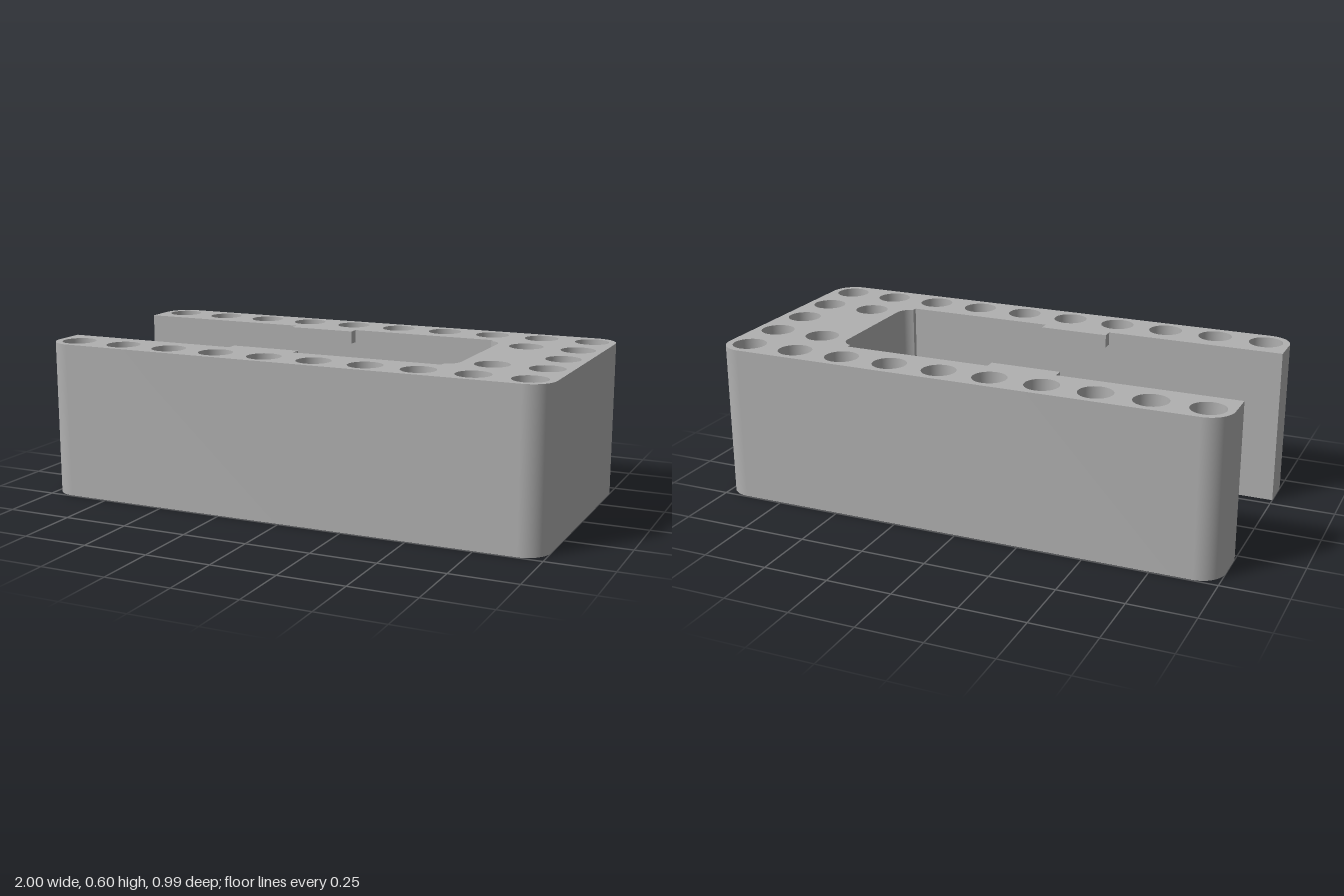
import * as THREE from 'three';

const HEIGHT = 0.6, FLOOR = 0.05;

// Extrude a plan drawn in (x, z) upward from y0
function slab(name, shape, y0, height, material) {
  const geo = new THREE.ExtrudeGeometry(shape, { depth: height, bevelEnabled: false, curveSegments: 20 });
  geo.rotateX(-Math.PI / 2);
  geo.translate(0, y0, 0);
  const mesh = new THREE.Mesh(geo, material);
  mesh.name = name;
  return mesh;
}

function polygon(points) {
  return new THREE.Shape(points.map(([x, y]) => new THREE.Vector2(x, y)));
}

function rect(x0, x1, z0, z1) {
  return polygon([[x0, z0], [x1, z0], [x1, z1], [x0, z1]]);
}

// Far end of the pocket: small step, then a rounded corner, mirrored on the other side
function pocketEnd(shape) {
  shape.lineTo(0.545, -0.285);
  shape.lineTo(0.545, -0.265);
  shape.quadraticCurveTo(0.585, -0.25, 0.59, -0.21);
  shape.lineTo(0.59, 0.21);
  shape.quadraticCurveTo(0.585, 0.25, 0.545, 0.265);
  shape.lineTo(0.545, 0.285);
}

export function createModel() {
  const group = new THREE.Group();
  const grey = new THREE.MeshStandardMaterial({ color: 0xb0b0b0 });
  grey.name = 'grey plastic';

  // U-shaped wall with rounded outer corners
  const w = 0.495, r = 0.095;
  const wall = new THREE.Shape();
  wall.moveTo(-1, -0.285);
  pocketEnd(wall);
  wall.lineTo(-1, 0.285);
  wall.lineTo(-1, w - r);
  wall.absarc(-1 + r, w - r, r, Math.PI, Math.PI / 2, true);
  wall.absarc(1 - r, w - r, r, Math.PI / 2, 0, true);
  wall.absarc(1 - r, -w + r, r, 0, -Math.PI / 2, true);
  wall.absarc(-1 + r, -w + r, r, -Math.PI / 2, -Math.PI, true);

  // Pin holes on a regular pitch, right through the wall
  const pitch = 0.2017;
  const holes = [[4.5, 0]];
  for (const side of [-1, 1]) {
    for (let i = 0; i < 10; i++) holes.push([i - 4.5, 2 * side]);
    holes.push([3.5, side], [4.5, side]);
  }
  for (const [i, j] of holes) {
    const hole = new THREE.Path();
    hole.absarc(i * pitch, j * pitch, 0.065, 0, Math.PI * 2, false);
    wall.holes.push(hole);
  }
  group.add(slab('wall', wall, 0, HEIGHT, grey));

  // Pocket floor, slit on both sides to leave a springy tongue
  const floor = new THREE.Shape();
  floor.moveTo(-0.57, -0.285);
  pocketEnd(floor);
  for (const [x, z] of [[-0.57, 0.285], [-0.57, 0.206], [0.08, 0.206], [0.08, 0.196], [-0.57, 0.196],
    [-0.57, -0.196], [0.08, -0.196], [0.08, -0.206], [-0.57, -0.206]]) floor.lineTo(x, z);
  const latchWindow = rect(-0.525, -0.46, -0.073, 0.073);
  floor.holes.push(latchWindow);
  group.add(slab('floor', floor, 0, FLOOR, grey));

  // Raised latch at the tip of the tongue, notched in front of its window
  const latch = polygon([[-0.57, -0.163], [-0.41, -0.163], [-0.41, 0.163], [-0.57, 0.163],
    [-0.57, 0.073], [-0.545, 0.073], [-0.545, -0.073], [-0.57, -0.073]]);
  latch.holes.push(latchWindow);
  group.add(slab('latch', latch, FLOOR, 0.03, grey));

  // Retaining lips at the rim of the pocket
  for (const side of [-1, 1]) {
    const lip = rect(-0.31, -0.04, side * 0.265 - 0.02, side * 0.265 + 0.02);
    group.add(slab(side > 0 ? 'backLip' : 'frontLip', lip, HEIGHT - 0.05, 0.05, grey));
  }

  smoothCurves(group);
  return group;
}

// Smooth normals on rounded sides while keeping real edges sharp
function smoothCurves(group) {
  for (const mesh of group.children) {
    const geo = mesh.geometry, pos = geo.attributes.position, nor = geo.attributes.normal;
    const key = i => `${pos.getX(i).toFixed(4)},${pos.getY(i).toFixed(4)},${pos.getZ(i).toFixed(4)}`;
    const faces = new Map();
    const original = [];
    for (let i = 0; i < pos.count; i++) {
      original.push(new THREE.Vector3().fromBufferAttribute(nor, i));
      if (!faces.has(key(i))) faces.set(key(i), []);
      faces.get(key(i)).push(original[i]);
    }
    for (let i = 0; i < pos.count; i++) {
      const sum = new THREE.Vector3();
      for (const n of faces.get(key(i))) if (n.dot(original[i]) > 0.87) sum.add(n);
      sum.normalize();
      nor.setXYZ(i, sum.x, sum.y, sum.z);
    }
  }
}
